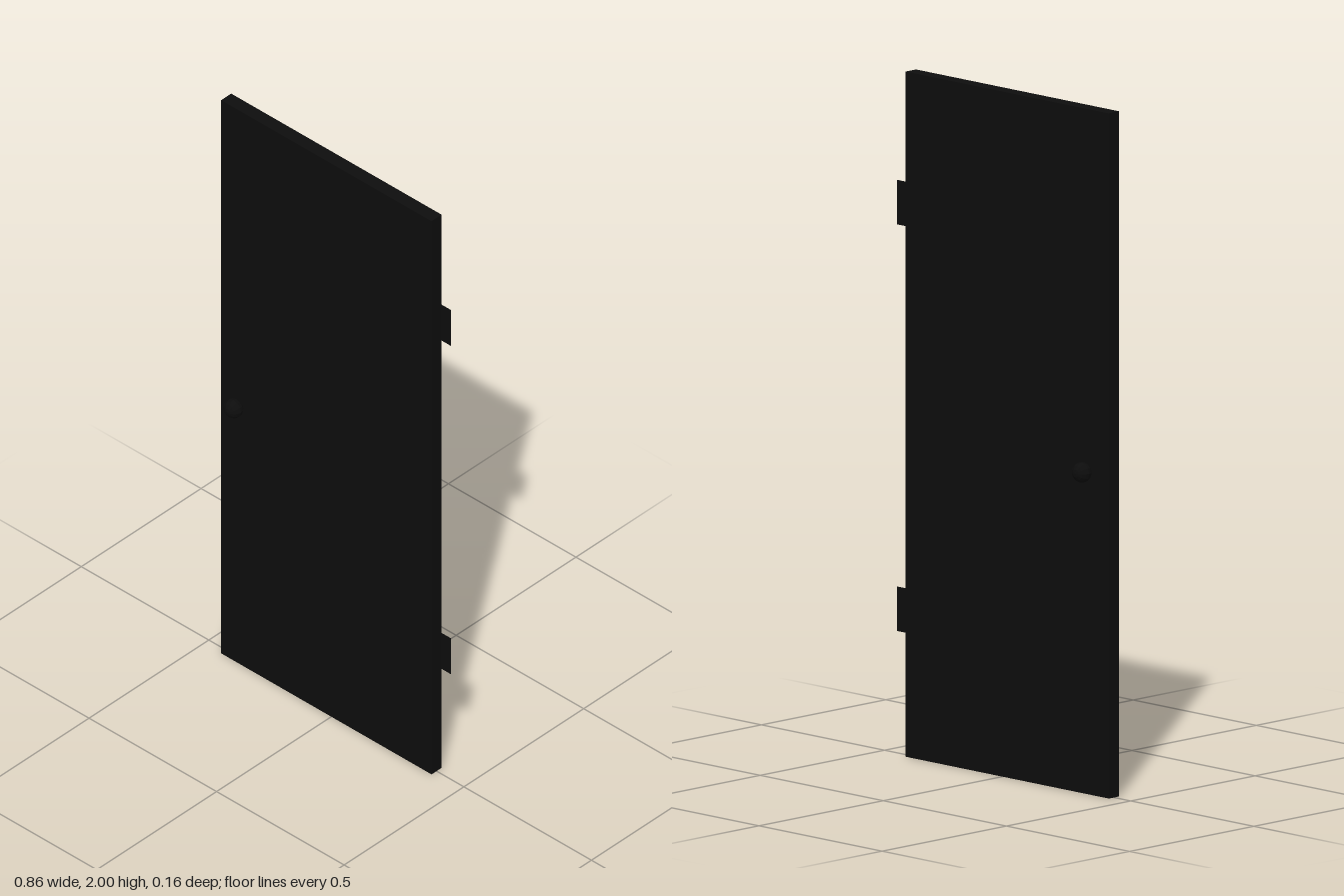
import * as THREE from 'three';

export function createModel() {
  const group = new THREE.Group();
  group.name = 'door';
  const black = new THREE.MeshStandardMaterial({ color: 0x0d0d0d });
  const blackFlat = new THREE.MeshStandardMaterial({ color: 0x0d0d0d, flatShading: true });
  const blackSheet = new THREE.MeshStandardMaterial({ color: 0x0d0d0d, side: THREE.DoubleSide });

  const add = (name, geometry, material, x, y, z) => {
    const mesh = new THREE.Mesh(geometry, material);
    mesh.name = name;
    mesh.position.set(x, y, z);
    group.add(mesh);
    return mesh;
  };

  // Plain slab
  add('doorPanel', new THREE.BoxGeometry(0.825, 2, 0.042), black, -0.0195, 1, 0);

  // A slightly flattened knob on a thin stem, on each face
  const knob = new THREE.SphereGeometry(0.03, 12, 8).rotateX(Math.PI / 2).scale(1, 1, 0.9);
  const stem = new THREE.CylinderGeometry(0.004, 0.004, 0.02, 8).rotateX(Math.PI / 2);
  for (const [side, s] of [['front', 1], ['back', -1]]) {
    add(side + 'Knob', knob, blackFlat, -0.354, 0.945, s * 0.0525);
    add(side + 'KnobStem', stem, black, -0.354, 0.945, s * 0.025);
  }

  // Thin hinge leaves at the back of the hinge edge
  const leaf = new THREE.PlaneGeometry(0.042, 0.13);
  add('upperHinge', leaf, blackSheet, 0.411, 1.613, -0.018);
  add('lowerHinge', leaf, blackSheet, 0.411, 0.426, -0.018);

  return group;
}
